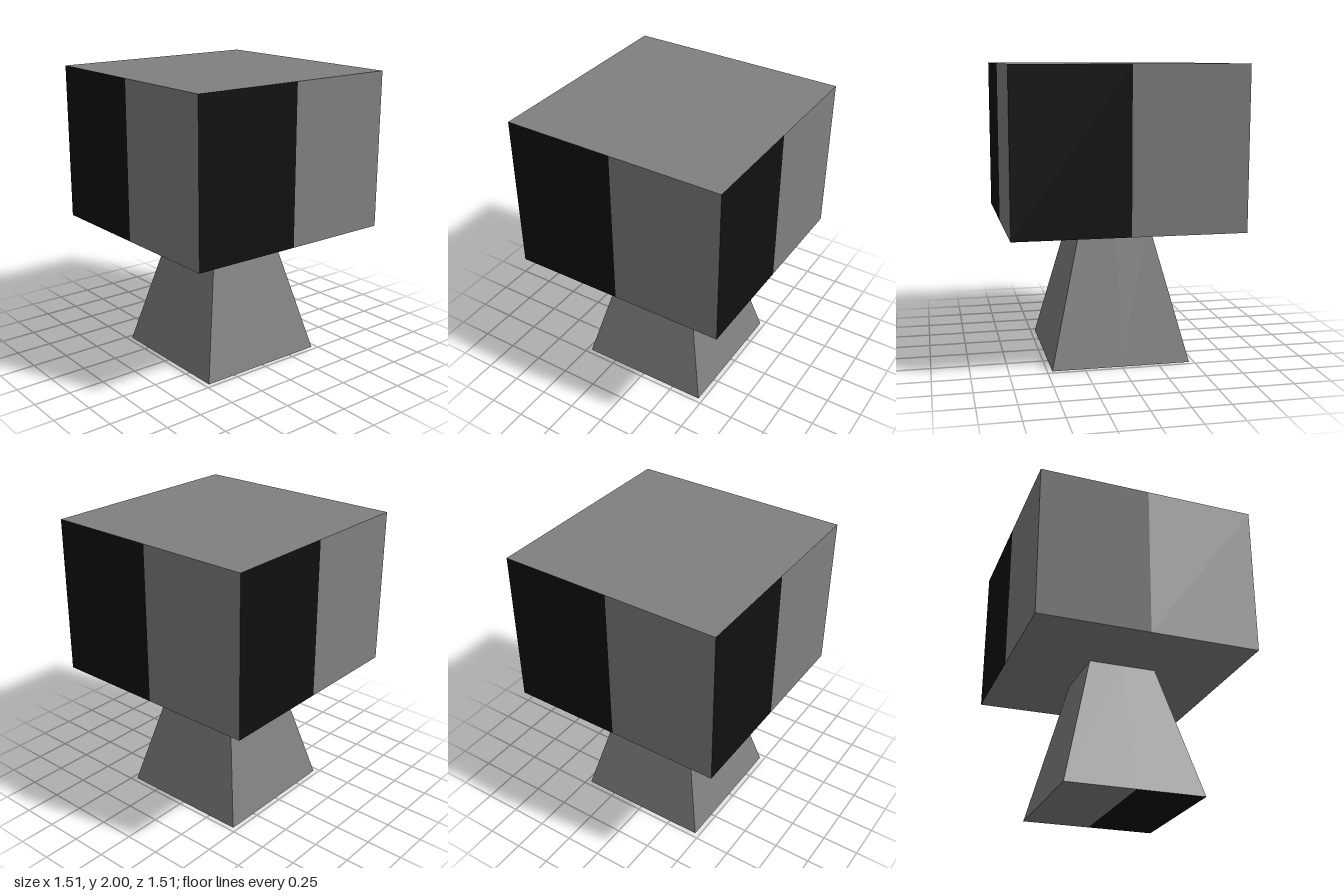
import * as THREE from 'three';

const grey = new THREE.MeshStandardMaterial({ color: 0x808080 });
grey.name = 'grey';
const black = new THREE.MeshStandardMaterial({ color: 0x101010 });
black.name = 'black';

// Box with halved faces; each face cell is 6 indices, blackCells lists the black ones.
// Cells: 0-1 right, 2-3 left, 4-7 top, 8-11 bottom, 12-13 front, 14-15 back.
function halvedBox(name, topWidth, bottomWidth, y0, y1, blackCells) {
  const geo = new THREE.BoxGeometry(1, y1 - y0, 1, 2, 1, 2);
  const pos = geo.attributes.position;
  for (let i = 0; i < pos.count; i++) {
    const w = pos.getY(i) > 0 ? topWidth : bottomWidth;
    pos.setX(i, pos.getX(i) * w);
    pos.setZ(i, pos.getZ(i) * w);
  }
  geo.computeVertexNormals();
  geo.clearGroups();
  for (let cell = 0; cell < 16; cell++) {
    geo.addGroup(cell * 6, 6, blackCells.includes(cell) ? 1 : 0);
  }
  const mesh = new THREE.Mesh(geo, [grey, black]);
  mesh.name = name;
  mesh.position.y = (y0 + y1) / 2;
  return mesh;
}

export function createModel() {
  const group = new THREE.Group();
  group.name = 'blockOnPedestal';
  // Block: left half of every side is black
  group.add(halvedBox('block', 1.508, 1.508, 0.935, 2, [0, 2, 12, 14]));
  // Tapered pedestal: one half of the underside is black
  group.add(halvedBox('pedestal', 0.467, 0.934, 0, 0.935, [9, 11]));
  return group;
}
